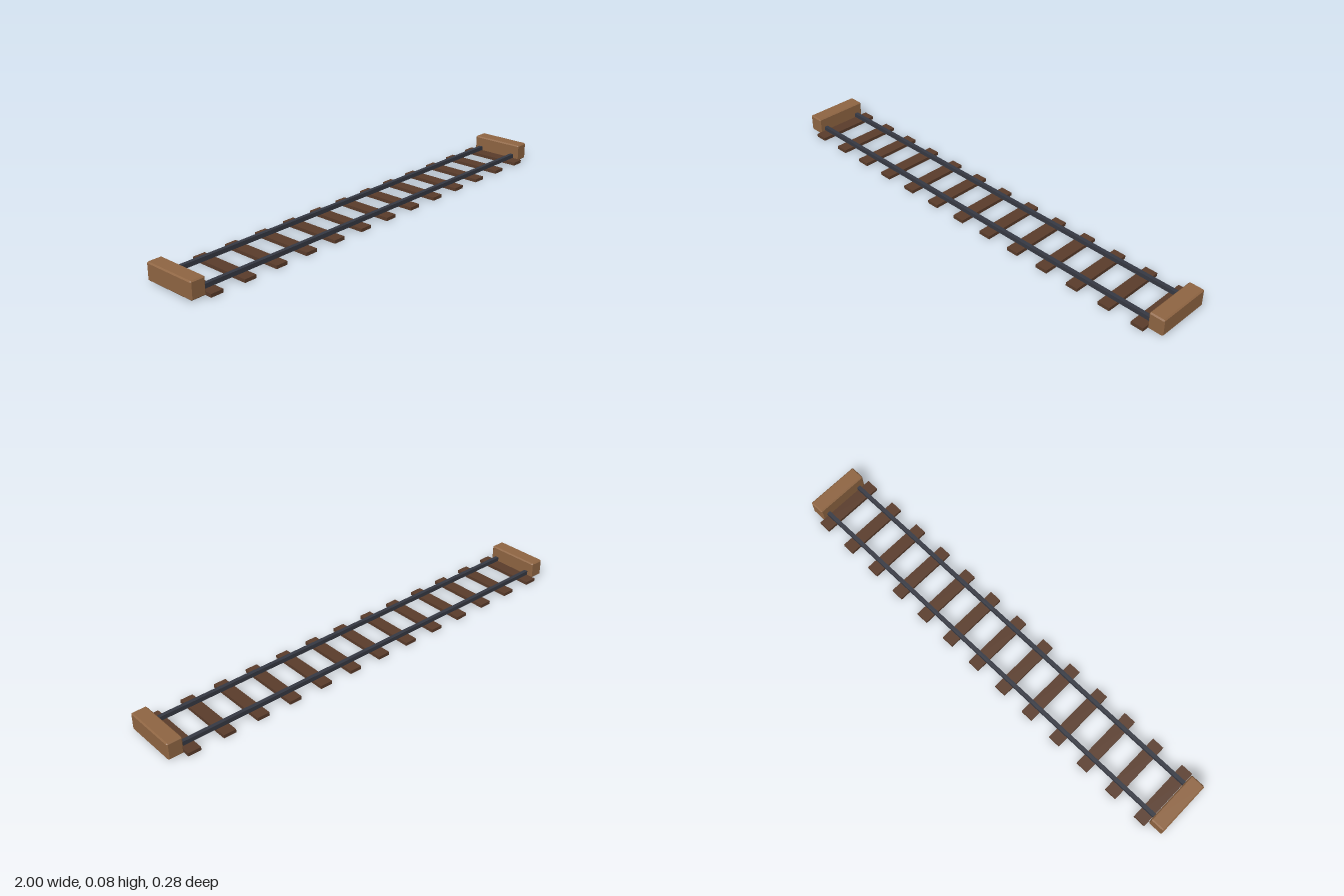
import * as THREE from 'three';
import { ConvexGeometry } from 'three/addons/geometries/ConvexGeometry.js';

const paint = (color) => new THREE.MeshStandardMaterial({ color });

// Box with flat chamfers on all edges
function chamferedBox(w, h, d, c) {
  const points = [];
  for (const x of [-1, 1]) for (const y of [-1, 1]) for (const z of [-1, 1]) {
    for (let axis = 0; axis < 3; axis++) {
      const inset = [0, 1, 2].map((i) => (i === axis ? 0 : c));
      points.push(new THREE.Vector3(
        x * (w / 2 - inset[0]), y * (h / 2 - inset[1]), z * (d / 2 - inset[2])));
    }
  }
  return new ConvexGeometry(points);
}

export function createModel() {
  const track = new THREE.Group();
  track.name = 'railwayTrack';

  const add = (name, geometry, material, x, y, z) => {
    const mesh = new THREE.Mesh(geometry, material);
    mesh.name = name;
    mesh.position.set(x, y, z);
    track.add(mesh);
  };

  // Wooden sleepers, evenly spaced
  const sleeper = new THREE.BoxGeometry(0.054, 0.014, 0.284);
  const darkWood = paint(0x5a3c2b);
  const count = 13;
  for (let i = 0; i < count; i++) {
    add(`sleeper${i + 1}`, sleeper, darkWood, (i - (count - 1) / 2) * 0.151, 0.007, 0);
  }

  // Steel rails resting on the sleepers
  const rail = new THREE.BoxGeometry(1.87, 0.018, 0.016);
  const steel = paint(0x363943);
  add('frontRail', rail, steel, 0, 0.023, 0.088);
  add('backRail', rail, steel, 0, 0.023, -0.088);

  // Chamfered buffer blocks closing both ends
  const buffer = chamferedBox(0.065, 0.074, 0.24, 0.005);
  const lightWood = paint(0x8f6542);
  add('leftBuffer', buffer, lightWood, 0.9675, 0.04, 0);
  add('rightBuffer', buffer, lightWood, -0.9675, 0.04, 0);

  return track;
}
